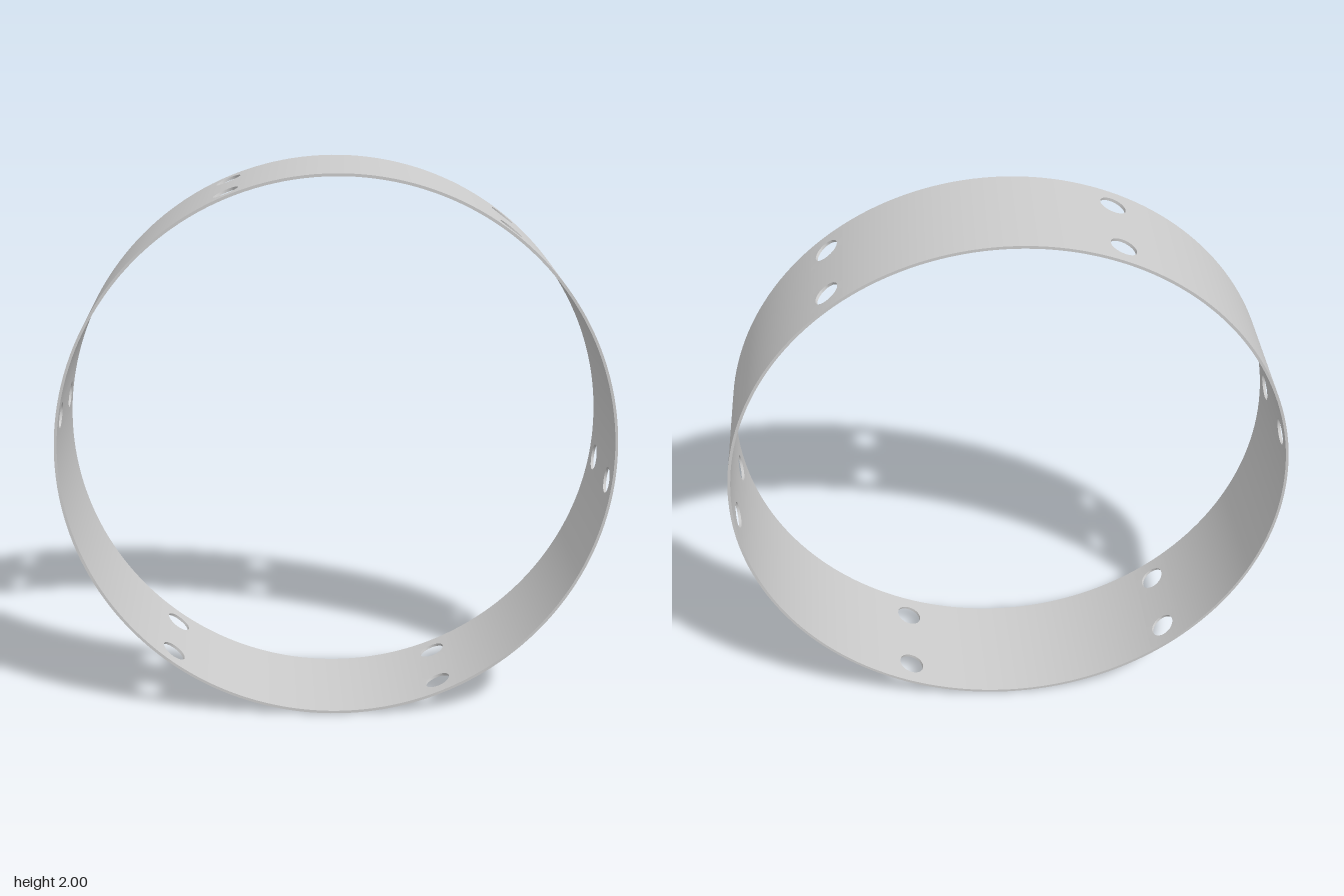
import * as THREE from 'three';
import { toCreasedNormals } from 'three/addons/utils/BufferGeometryUtils.js';

const OUTER = 1, INNER = 0.99, HALF = 0.237; // ring radii and half width
const HOLE_R = 0.048, HOLE_Z = 0.14, PATCH = 0.07; // holes and the square patch around each
const HOLES = 6, FIRST = -7.5 * Math.PI / 180, SIDE = 8;

export function createModel() {
  const pos = [];

  // Grid of quads over fn(u, v) -> [angle, z, radius]
  function sheet(nu, nv, fn, flip = false) {
    const at = (i, j) => {
      const [a, z, r] = fn(i / nu, j / nv);
      return [r * Math.cos(a), r * Math.sin(a), z];
    };
    for (let i = 0; i < nu; i++) for (let j = 0; j < nv; j++) {
      const a = at(i, j), b = at(i + 1, j), c = at(i + 1, j + 1), d = at(i, j + 1);
      pos.push(...(flip ? [a, c, b, a, d, c] : [a, b, c, a, c, d]).flat());
    }
  }

  // Both curved faces of a rectangle of the band
  function panel(a0, a1, z0, z1, n) {
    for (const r of [OUTER, INNER]) {
      sheet(n, 1, (u, v) => [a0 + (a1 - a0) * u, z0 + (z1 - z0) * v, r], r === INNER);
    }
  }

  // Front and back edges of the band
  function rims(a0, a1, n) {
    for (const z of [HALF, -HALF]) {
      sheet(n, 1, (u, v) => [a0 + (a1 - a0) * u, z, OUTER + (INNER - OUTER) * v], z < 0);
    }
  }

  // Counter-clockwise point on the unit square
  function square(u) {
    const t = (u % 1) * 4, k = Math.floor(t), s = (t - k) * 2 - 1;
    return [[1, s], [-s, 1], [-1, -s], [s, -1]][k];
  }

  // Square patch pierced by a round hole, with the hole's wall
  function piercedPatch(angle, zc) {
    const point = (u, v, r) => {
      const [x, y] = square(u);
      const k = PATCH * (1 - v) + HOLE_R / Math.hypot(x, y) * v;
      return [angle + x * k, zc + y * k, r];
    };
    for (const r of [OUTER, INNER]) sheet(SIDE * 4, 1, (u, v) => point(u, v, r), r === INNER);
    sheet(SIDE * 4, 1, (u, v) => point(u, 1, OUTER + (INNER - OUTER) * v));
  }

  const step = Math.PI * 2 / HOLES;
  for (let i = 0; i < HOLES; i++) {
    const a = FIRST + i * step, a0 = a - PATCH, a1 = a + PATCH, next = a0 + step;
    // Column holding a pair of holes
    for (const s of [-1, 1]) piercedPatch(a, s * HOLE_Z);
    panel(a0, a1, -HALF, -HOLE_Z - PATCH, SIDE);
    panel(a0, a1, -HOLE_Z + PATCH, HOLE_Z - PATCH, SIDE);
    panel(a0, a1, HOLE_Z + PATCH, HALF, SIDE);
    rims(a0, a1, SIDE);
    // Plain stretch up to the next pair
    panel(a1, next, -HALF, HALF, 26);
    rims(a1, next, 26);
  }

  const raw = new THREE.BufferGeometry();
  raw.setAttribute('position', new THREE.Float32BufferAttribute(pos, 3));
  const ring = new THREE.Mesh(
    toCreasedNormals(raw, 0.5),
    new THREE.MeshStandardMaterial({ color: 0xcccccc })
  );
  ring.name = 'perforatedRing';
  ring.position.y = OUTER;

  const group = new THREE.Group();
  group.name = 'ringBand';
  group.add(ring);
  return group;
}
